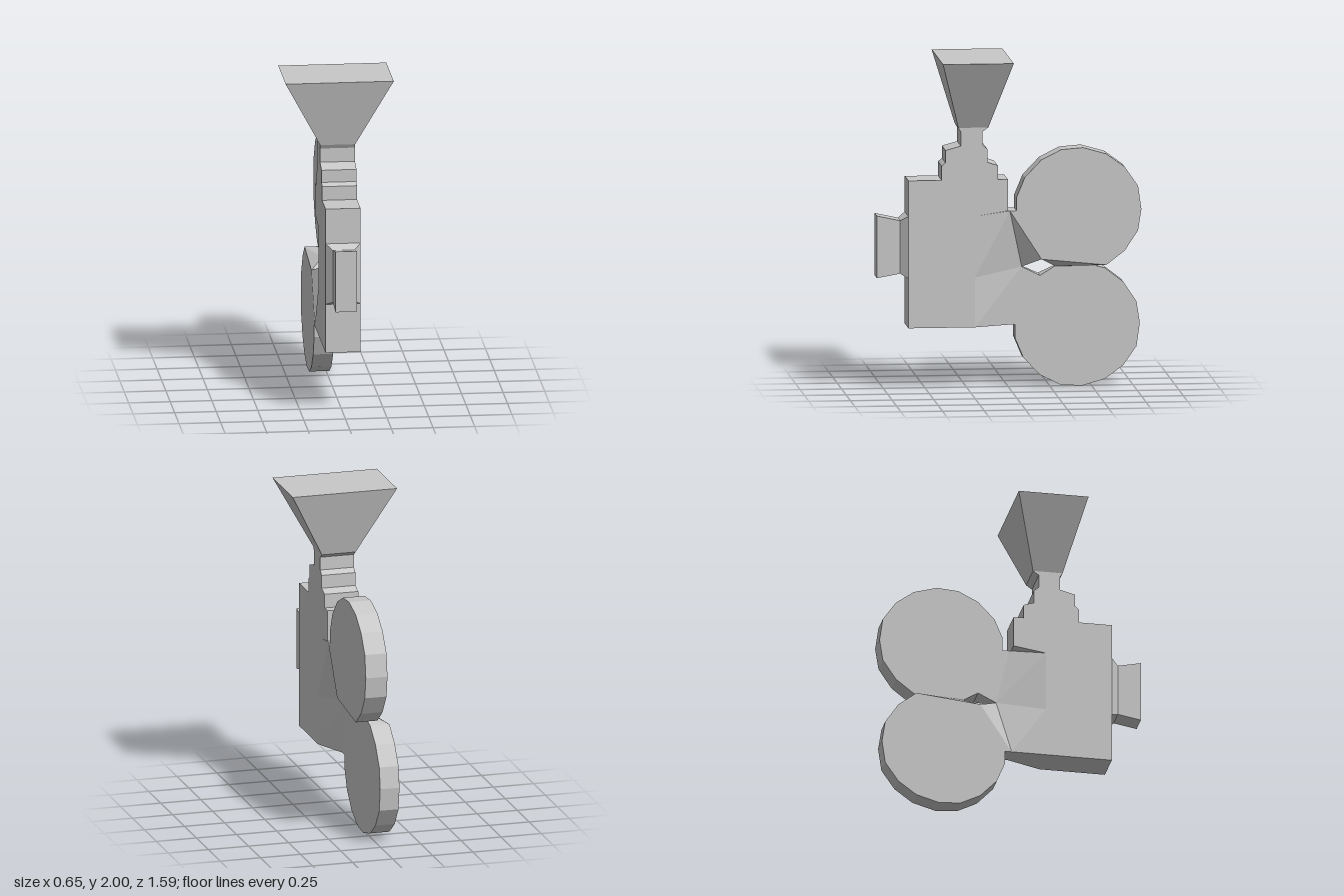
import * as THREE from 'three';
import { ConvexGeometry } from 'three/addons/geometries/ConvexGeometry.js';

const grey = new THREE.MeshStandardMaterial({ color: 0xc8c8c8 });
grey.name = 'plain grey';

// Extrude a side outline of [z, y] points across x0..x1
function slab(name, outline, x0, x1) {
  const shape = new THREE.Shape(outline.map(([z, y]) => new THREE.Vector2(z, y)));
  const geo = new THREE.ExtrudeGeometry(shape, { depth: x1 - x0, bevelEnabled: false });
  geo.rotateY(-Math.PI / 2).translate(x1, 0, 0);
  return part(name, geo);
}

// Convex solid spanning a list of [x, y, z] corners
function hull(name, corners) {
  return part(name, new ConvexGeometry(corners.map((c) => new THREE.Vector3(...c))));
}

function part(name, geo) {
  const mesh = new THREE.Mesh(geo, grey);
  mesh.name = name;
  return mesh;
}

// Pair of corners at the same y, z
const pair = (x0, x1, y, z) => [[x0, y, z], [x1, y, z]];
// Rectangle at constant z or at constant y
const rectZ = (w, y0, y1, z) => [...pair(-w, w, y0, z), ...pair(-w, w, y1, z)];
const rectY = (w, z0, z1, y) => [...pair(-w, w, y, z0), ...pair(-w, w, y, z1)];

export function createModel() {
  const model = new THREE.Group();
  model.name = 'filmCamera';
  const W = 0.105;   // half width of the body
  const MID = 0.73;  // height where the two reels meet
  const JOIN = [-0.03, 0.015]; // narrow x range shared by both reels

  // Body with the stepped neck on top
  model.add(slab('body', [
    [0.61, 0.38], [0.61, 1.27], [0.41, 1.27], [0.41, 1.355], [0.387, 1.375],
    [0.387, 1.45], [0.295, 1.475], [0.295, 1.56], [0.31, 1.585], [0.13, 1.585],
    [0.165, 1.56], [0.165, 1.48], [0.135, 1.455], [0.135, 1.375], [0.073, 1.355],
    [0.073, 1.27], [0.012, 1.27], [0.012, 1.08], [0.21, 1.05], [0.21, 0.38],
  ], -W, W));

  // Flared hood on top
  model.add(hull('topHood', [
    ...rectY(W, 0.13, 0.31, 1.585),
    ...rectY(0.325, 0, 0.425, 2),
  ]));

  // Lens: collar narrowing from the body, then a barrel flaring in height
  const lens = new THREE.Group();
  lens.name = 'lens';
  lens.add(
    hull('lensCollar', [...rectZ(W, 0.68, 1.055, 0.61), ...rectZ(0.065, 0.705, 1.025, 0.655)]),
    hull('lensBarrel', [...rectZ(0.065, 0.705, 1.025, 0.655), ...rectZ(0.065, 0.68, 1.055, 0.795)]),
  );
  model.add(lens);

  // Reel outline from the neck, around the rim, to the inner side of the gap
  const rim = [
    [0, 1.08], [-0.04, 1.08], [-0.04, 1.16], [-0.09, 1.28], [-0.19, 1.385],
    [-0.31, 1.445], [-0.44, 1.455], [-0.58, 1.415], [-0.69, 1.335], [-0.77, 1.22],
    [-0.79, 1.08], [-0.77, 0.95], [-0.69, 0.83], [-0.58, 0.745], [-0.19, 0.785],
  ];

  // The lower reel mirrors the upper one about MID and sits on the other side
  const reels = [
    { name: 'upperReel', x: [-0.03, W], flip: (y) => y, root: 1.05 },
    { name: 'lowerReel', x: [-W, 0.015], flip: (y) => 2 * MID - y, root: 0.38 },
  ];
  for (const { name, x, flip, root } of reels) {
    const reel = new THREE.Group();
    reel.name = name;
    reel.add(
      slab(name + 'Disc', rim.map(([z, y]) => [z, flip(y)]), ...x),
      // Sloping seam where the reels touch
      hull(name + 'Seam', [
        ...pair(...x, flip(0.745), -0.58), ...pair(...x, flip(0.785), -0.19),
        ...pair(...JOIN, MID, -0.52), ...pair(...JOIN, MID, -0.28),
      ]),
      // Web beside the diamond gap
      hull(name + 'Web', [
        ...pair(...x, flip(1.08), 0), ...pair(...x, flip(0.785), -0.19),
        ...pair(...JOIN, MID, -0.08),
      ]),
      // Tapered link from the body to the reel
      hull(name + 'Link', [
        ...rectZ(W, 0.68, root, 0.21),
        ...pair(...x, flip(1.08), 0), ...pair(...JOIN, MID, -0.08),
      ]),
    );
    model.add(reel);
  }
  return model;
}
